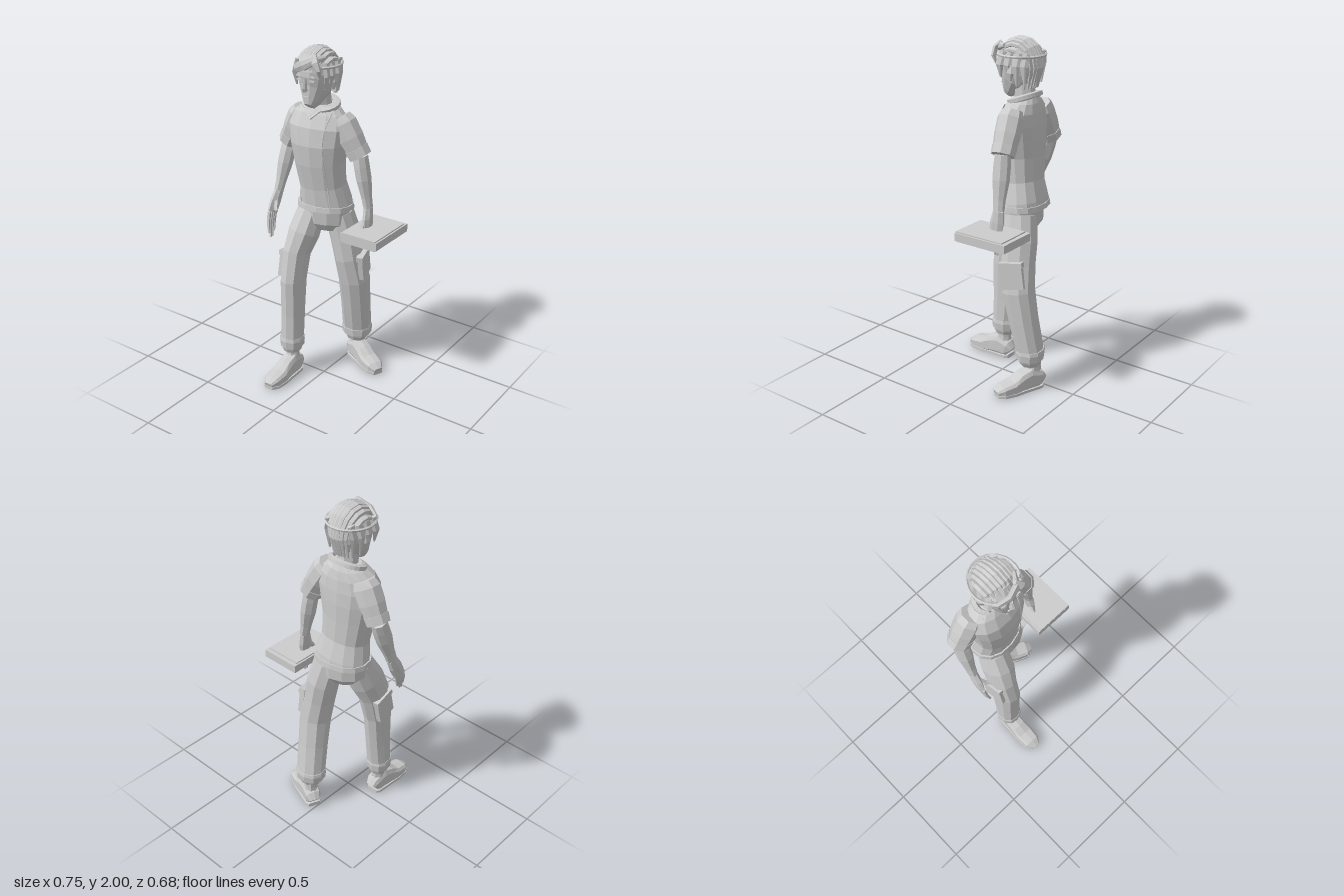
import * as THREE from 'three';

const grey = new THREE.MeshStandardMaterial({ color: 0xcccccc, flatShading: true });
grey.name = 'plain grey';

// Skin a row of rounded sections [x, y, z, halfWidth, halfDepth] set square to their path
function loft(parent, name, secs, { n = 8, yaw = 0, e = 1 } = {}) {
  const c = secs.map(s => new THREE.Vector3(s[0], s[1], s[2]));
  const ref = new THREE.Vector3(Math.cos(yaw), 0, -Math.sin(yaw));
  const pos = [], idx = [], last = secs.length - 1;
  const bend = v => Math.sign(v) * Math.abs(v) ** e;
  secs.forEach((s, i) => {
    const t = c[Math.min(i + 1, last)].clone().sub(c[Math.max(i - 1, 0)]).normalize();
    const u = ref.clone().addScaledVector(t, -ref.dot(t)).normalize();
    const v = t.clone().cross(u);
    for (let j = 0; j < n; j++) {
      const w = ((j + 0.5) / n) * Math.PI * 2;
      const p = c[i].clone().addScaledVector(u, s[3] * bend(Math.cos(w))).addScaledVector(v, s[4] * bend(Math.sin(w)));
      pos.push(p.x, p.y, p.z);
    }
  });
  pos.push(...c[0].toArray(), ...c[last].toArray());
  const first = secs.length * n;
  for (let j = 0; j < n; j++) {
    const k = (j + 1) % n;
    for (let i = 0; i < last; i++) {
      const a = i * n + j, b = i * n + k;
      idx.push(a, b, a + n, b, b + n, a + n);
    }
    idx.push(first, k, j, first + 1, last * n + j, last * n + k);
  }
  const g = new THREE.BufferGeometry();
  g.setAttribute('position', new THREE.Float32BufferAttribute(pos, 3));
  g.setIndex(idx);
  g.computeVertexNormals();
  return add(parent, name, g);
}

function add(parent, name, geo, x = 0, y = 0, z = 0) {
  const m = new THREE.Mesh(geo, grey);
  m.name = name;
  m.position.set(x, y, z);
  parent.add(m);
  return m;
}

function group(parent, name) {
  const g = new THREE.Group();
  g.name = name;
  parent.add(g);
  return g;
}

function tube(parent, name, pts, r) {
  const path = new THREE.CatmullRomCurve3(pts.map(p => new THREE.Vector3(...p)));
  return add(parent, name, new THREE.TubeGeometry(path, 20, r, 5));
}

function buildTorso(root) {
  const g = group(root, 'torso');
  loft(g, 'hips', [[-0.06, 0.92, -0.09, 0.1, 0.075], [-0.06, 0.97, -0.1, 0.15, 0.11], [-0.06, 1.07, -0.1, 0.155, 0.115]], { n: 12, yaw: 0.3 });
  loft(g, 'shirt', [
    [-0.065, 1.06, -0.11, 0.165, 0.125], [-0.065, 1.09, -0.11, 0.16, 0.12], [-0.07, 1.2, -0.09, 0.138, 0.11],
    [-0.08, 1.34, -0.075, 0.15, 0.12], [-0.082, 1.45, -0.07, 0.17, 0.125], [-0.083, 1.54, -0.075, 0.182, 0.117],
    [-0.083, 1.61, -0.09, 0.16, 0.095], [-0.083, 1.65, -0.095, 0.115, 0.078], [-0.083, 1.67, -0.095, 0.08, 0.065],
  ], { n: 14, yaw: 0.12, e: 0.9 });
  loft(g, 'shirtHem', [[-0.065, 1.055, -0.11, 0.17, 0.13], [-0.065, 1.085, -0.11, 0.167, 0.127]], { n: 14, yaw: 0.15, e: 0.9 });
  // collar wings, neck notch and front seams
  const ring = [];
  for (let i = 0; i <= 12; i++) {
    const w = 0.5 + (i / 12) * (Math.PI * 2 - 1);
    ring.push([-0.083 + 0.1 * Math.sin(w), 1.665 - 0.025 * Math.cos(w), -0.09 + 0.072 * Math.cos(w)]);
  }
  tube(g, 'collar', ring, 0.018);
  for (const s of [-1, 1]) {
    tube(g, 'neckNotch', [[-0.083 + s * 0.045, 1.645, -0.022], [-0.083, 1.6, 0.015]], 0.009);
    tube(g, 'frontSeam', [[-0.083 + s * 0.11, 1.64, -0.035], [-0.083 + s * 0.095, 1.54, 0.02], [-0.081 + s * 0.09, 1.4, 0.028], [-0.07 + s * 0.09, 1.2, -0.008], [-0.065 + s * 0.1, 1.08, -0.01]], 0.004);
  }
}

function buildHead(root) {
  const g = group(root, 'head'), cx = -0.083;
  loft(g, 'neck', [[cx, 1.6, -0.1, 0.07, 0.065], [cx, 1.68, -0.09, 0.058, 0.06], [cx, 1.78, -0.075, 0.058, 0.06]]);
  loft(g, 'face', [
    [cx, 1.675, 0.02, 0.03, 0.03], [cx, 1.7, 0.002, 0.05, 0.052], [cx, 1.76, -0.03, 0.08, 0.09],
    [cx, 1.82, -0.055, 0.096, 0.12], [cx, 1.9, -0.06, 0.1, 0.122], [cx, 1.96, -0.06, 0.065, 0.085],
  ], { n: 12, e: 0.9 });
  loft(g, 'nose', [[cx, 1.77, 0.06, 0.014, 0.02], [cx, 1.785, 0.065, 0.012, 0.02], [cx, 1.84, 0.055, 0.007, 0.014]], { n: 6 });
  add(g, 'mouth', new THREE.BoxGeometry(0.04, 0.005, 0.008), cx, 1.735, 0.053);
  for (const s of [-1, 1]) {
    add(g, 'eye', new THREE.BoxGeometry(0.035, 0.01, 0.008), cx + s * 0.04, 1.825, 0.052);
    add(g, 'eyebrow', new THREE.BoxGeometry(0.045, 0.009, 0.009), cx + s * 0.04, 1.848, 0.053);
    loft(g, 'ear', [[cx + s * 0.1, 1.77, -0.06, 0.008, 0.012], [cx + s * 0.105, 1.81, -0.065, 0.014, 0.025], [cx + s * 0.1, 1.85, -0.065, 0.01, 0.02]], { n: 6 });
    // hair in front of and behind the ear
    for (const z of [0.005, -0.045, -0.1, -0.14]) {
      const k = z < -0.12 ? 0.085 : 0.102;
      loft(g, 'sideLock', [[cx + s * k * 0.9, 1.92, z - 0.01, 0.014, 0.024], [cx + s * (k + 0.004), 1.85, z, 0.014, 0.026], [cx + s * k * 0.93, z < -0.08 ? 1.74 : 1.78, z, 0.004, 0.006]], { n: 6 });
    }
  }
  const cap = new THREE.SphereGeometry(1, 16, 8, 0, Math.PI * 2, 0, Math.PI * 0.55).rotateX(-0.4).scale(0.106, 0.138, 0.13);
  add(g, 'hairCap', cap, cx, 1.845, -0.06);
  // strands combed from forehead to nape
  for (let i = -4; i <= 4; i++) {
    const s = i / 4.4, k = Math.sqrt(1 - 0.75 * s * s), secs = [];
    for (let d = 35; d <= 185; d += 25) {
      const a = d * Math.PI / 180, w = d === 35 ? 0.5 : 1;
      secs.push([cx + 0.1 * s * (0.75 + 0.25 * Math.sin(a)), 1.85 + 0.135 * k * Math.sin(a), -0.062 + 0.123 * k * Math.cos(a), 0.017 * w, 0.014 * w]);
    }
    secs.push([cx + 0.07 * s, 1.725, -0.08 - 0.075 * k, 0.006, 0.005]);
    loft(g, 'hairStrand', secs, { n: 6 });
  }
  // swept fringe
  loft(g, 'fringe', [[-0.185, 1.86, -0.01, 0.012, 0.012], [-0.15, 1.882, 0.042, 0.016, 0.026], [-0.09, 1.91, 0.062, 0.018, 0.032], [-0.035, 1.94, 0.045, 0.018, 0.026], [0, 1.95, -0.01, 0.01, 0.012]], { n: 7, yaw: Math.PI / 2 });
  loft(g, 'frontLock', [[-0.04, 1.965, 0.035, 0.014, 0.012], [-0.015, 1.93, 0.06, 0.022, 0.014], [0.003, 1.89, 0.058, 0.018, 0.013], [0.002, 1.85, 0.045, 0.005, 0.005]], { n: 6 });
  // band round the sides and back of the head
  const band = [];
  for (let i = 0; i <= 16; i++) {
    const w = 0.75 + (i / 16) * (Math.PI * 2 - 1.5);
    band.push([cx + 0.128 * Math.sin(w), 1.9, -0.065 + 0.132 * Math.cos(w)]);
  }
  tube(g, 'headBand', band, 0.008);
}

function buildArm(root, name, o) {
  const g = group(root, name);
  const [s, e, w, p, t] = [o.shoulder, o.elbow, o.wrist, o.palm, o.tip];
  const mix = (a, b, k) => a.map((v, i) => v + (b[i] - v) * k);
  loft(g, 'sleeve', [[...mix(s, e, -0.2), 0.06, 0.065], [...s, 0.078, 0.076], [...mix(s, e, 0.45), 0.075, 0.076], [...mix(s, e, 0.85), 0.064, 0.066], [...e, 0.06, 0.062]]);
  loft(g, 'sleeveCuff', [[...mix(s, e, 0.76), 0.07, 0.072], [...mix(s, e, 1.02), 0.068, 0.068]]);
  loft(g, 'forearm', [[...e, 0.045, 0.045], [...mix(e, w, 0.2), 0.044, 0.05], [...mix(e, w, 0.45), 0.043, 0.05], [...mix(e, w, 0.8), 0.03, 0.036], [...w, 0.026, 0.034]]);
  loft(g, 'palm', [[...w, 0.025, 0.033], [...mix(w, p, 0.5), 0.025, 0.044], [...p, 0.018, 0.042]], { n: 7 });
  for (let i = 0; i < 4; i++) {
    const d = (i - 1.5) * 0.02, short = i === 0 || i === 3 ? 0.82 : 1;
    const a = [p[0], p[1] + 0.01, p[2] + d], b = mix(a, [t[0], t[1], t[2] + d * 0.7], short), m = mix(a, b, 0.5);
    loft(g, 'finger', [[...a, 0.012, 0.011], [m[0] + o.curl, m[1], m[2], 0.012, 0.011], [...b, 0.007, 0.007]], { n: 5 });
  }
  loft(g, 'thumb', [[...mix(w, p, 0.3), 0.015, 0.02], [...mix(mix(w, p, 0.6), o.thumb, 0.6), 0.013, 0.015], [...o.thumb, 0.008, 0.008]], { n: 5 });
}

function buildLeg(root, name, o) {
  const g = group(root, name);
  loft(g, 'trouserLeg', o.leg, { n: 10, yaw: o.yaw, e: 0.9 });
  const [x, , z, a, b] = o.leg[o.leg.length - 3];
  loft(g, 'trouserCuff', [[x, 0.255, z, a + 0.002, b + 0.002], [x, 0.235, z, a + 0.006, b + 0.006], [x, 0.195, z, a + 0.002, b + 0.002]], { n: 10, yaw: o.yaw, e: 0.9 });
  const pocket = add(g, 'thighPocket', new THREE.BoxGeometry(0.03, 0.15, 0.13), ...o.pocket);
  pocket.rotation.set(o.tilt, o.yaw, 0);
  const flap = add(g, 'pocketFlap', new THREE.BoxGeometry(0.04, 0.03, 0.14), o.pocket[0], o.pocket[1] + 0.065, o.pocket[2] - 0.06 * Math.sin(-o.tilt));
  flap.rotation.copy(pocket.rotation);
  // shoe built heel to toe, then turned
  const shoe = group(g, 'shoe');
  const profile = [[0, 0.034, 0.08], [0.02, 0.046, 0.115], [0.08, 0.05, 0.14], [0.13, 0.052, 0.12], [0.19, 0.058, 0.086], [0.26, 0.052, 0.07], [0.295, 0.028, 0.045]];
  loft(shoe, 'upper', profile.map(([d, w, h]) => [0, h / 2, d, w, h / 2]), { n: 10, e: 0.6 });
  loft(shoe, 'sole', profile.map(([d, w]) => [0, 0.012, d, w + 0.003, 0.012]), { n: 8, e: 0.4 });
  loft(shoe, 'ankle', [[0, 0.08, 0.055, 0.044, 0.052], [0, 0.14, 0.05, 0.038, 0.044], [0, 0.22, 0.045, 0.038, 0.042]]);
  shoe.position.set(o.heel[0], 0, o.heel[1]);
  shoe.rotation.y = o.turn;
}

export function createModel() {
  const root = new THREE.Group();
  root.name = 'standingFigure';
  buildTorso(root);
  buildHead(root);
  buildArm(root, 'rightArm', {
    shoulder: [-0.225, 1.575, -0.1], elbow: [-0.313, 1.4, -0.105], wrist: [-0.325, 1.12, -0.005],
    palm: [-0.33, 1.0, 0.055], tip: [-0.307, 0.865, 0.1], thumb: [-0.272, 1.03, 0.09], curl: -0.006,
  });
  buildArm(root, 'leftArm', {
    shoulder: [0.06, 1.575, -0.1], elbow: [0.16, 1.4, -0.118], wrist: [0.213, 1.1, -0.128],
    palm: [0.222, 0.97, -0.115], tip: [0.222, 0.845, -0.12], thumb: [0.2, 0.97, -0.045], curl: 0.008,
  });
  buildLeg(root, 'rightLeg', {
    leg: [[-0.13, 1.02, -0.06, 0.08, 0.09], [-0.145, 0.9, -0.005, 0.088, 0.105], [-0.163, 0.79, 0.04, 0.075, 0.1], [-0.163, 0.62, 0.078, 0.069, 0.094], [-0.163, 0.4, 0.088, 0.067, 0.08], [-0.163, 0.23, 0.1, 0.068, 0.072], [-0.163, 0.18, 0.1, 0.06, 0.064], [-0.162, 0.155, 0.1, 0.05, 0.054]],
    yaw: 0.1, pocket: [-0.228, 0.71, 0.055], tilt: -0.2, heel: [-0.158, 0.05], turn: 0,
  });
  buildLeg(root, 'leftLeg', {
    leg: [[0.01, 1.02, -0.135, 0.085, 0.09], [0.045, 0.88, -0.155, 0.09, 0.1], [0.07, 0.75, -0.16, 0.087, 0.1], [0.092, 0.6, -0.18, 0.091, 0.092], [0.085, 0.42, -0.212, 0.087, 0.083], [0.072, 0.23, -0.25, 0.086, 0.076], [0.07, 0.18, -0.25, 0.072, 0.066], [0.068, 0.155, -0.25, 0.06, 0.055]],
    yaw: 0.25, pocket: [0.158, 0.71, -0.18], tilt: 0.15, heel: [0.015, -0.285], turn: 1.15,
  });
  // flat slab held under the left hand, with thin covers
  const slab = group(root, 'slab');
  add(slab, 'slabBody', new THREE.BoxGeometry(0.24, 0.046, 0.33), 0.26, 0.962, -0.12);
  for (const y of [0.936, 0.988]) add(slab, 'slabCover', new THREE.BoxGeometry(0.22, 0.008, 0.305), 0.26, y, -0.108);
  return root;
}
